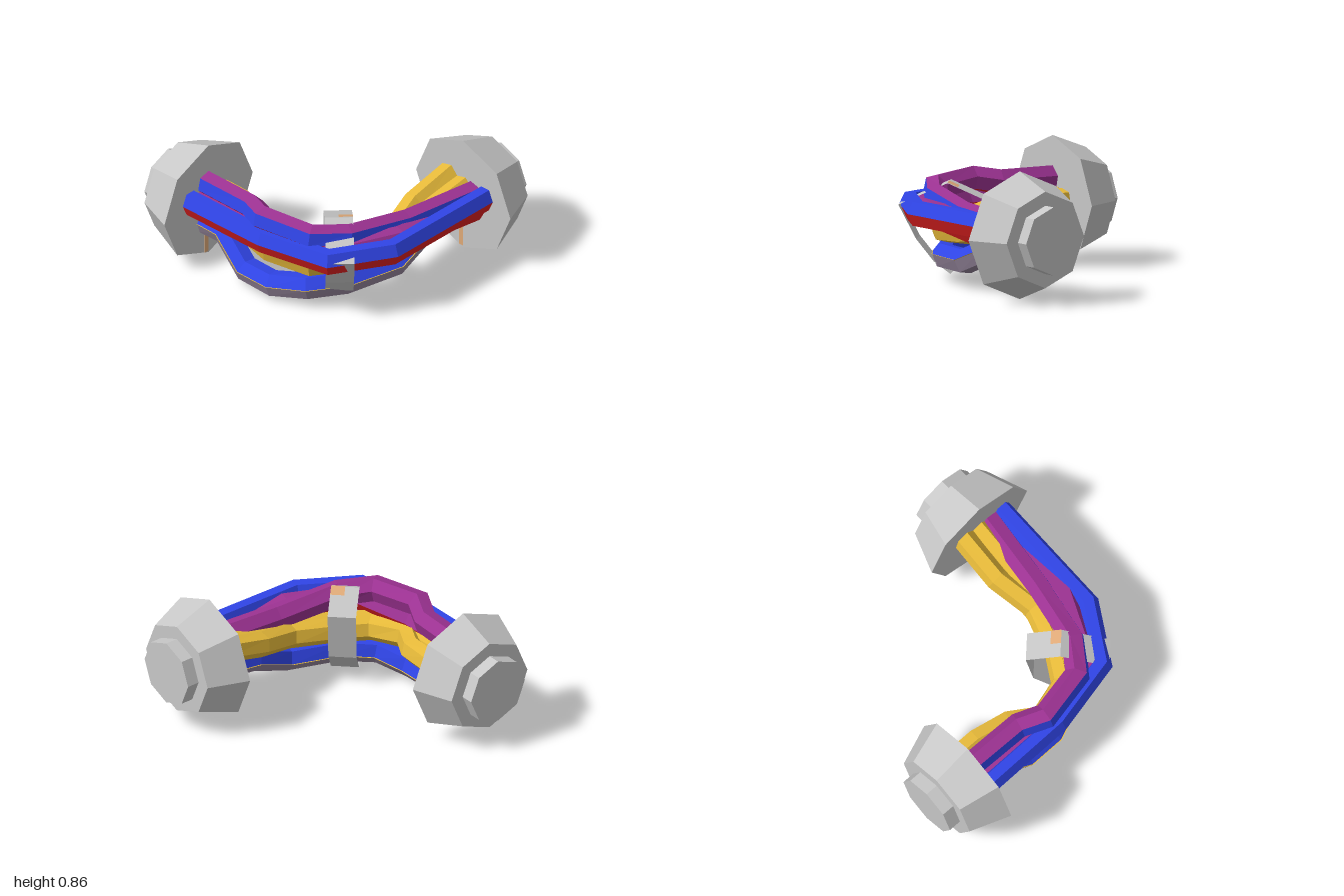
import * as THREE from 'three';

const mat = (name, color, side = THREE.FrontSide) =>
  new THREE.MeshStandardMaterial({ name, color, flatShading: true, side });

function surface(positions) {
  const g = new THREE.BufferGeometry();
  g.setAttribute('position', new THREE.Float32BufferAttribute(positions, 3));
  g.computeVertexNormals();
  return g;
}

// Mitred sweep of chosen facets of a six-sided section; facet 0 faces outward and up
function cableSkin(pts, facets, rot, r, flat) {
  const up = new THREE.Vector3(0, 1, 0);
  const dirs = pts.slice(1).map((p, i) => p.clone().sub(pts[i]).normalize());
  const rings = pts.map((p, i) => {
    const before = dirs[Math.max(i - 1, 0)], after = dirs[Math.min(i, dirs.length - 1)];
    const t = before.clone().add(after).normalize();
    const side = t.clone().cross(up).normalize();
    const top = side.clone().cross(t);
    const miter = 1 / Math.max(t.dot(after), 0.8);
    return Array.from({ length: 7 }, (_, k) => {
      const q = new THREE.Vector2(r, 0).rotateAround(new THREE.Vector2(), k * Math.PI / 3);
      q.y *= flat;
      q.rotateAround(new THREE.Vector2(), rot);
      return p.clone().addScaledVector(side, q.x * miter).addScaledVector(top, q.y);
    });
  });
  const out = [];
  for (let i = 0; i < rings.length - 1; i++) {
    for (const k of facets) {
      const a = rings[i][k], b = rings[i][k + 1], c = rings[i + 1][k + 1], d = rings[i + 1][k];
      for (const v of [a, d, c, a, c, b]) out.push(v.x, v.y, v.z);
    }
  }
  return surface(out);
}

// Cable from the side plug (start y, z) through its bends to the back plug (end x, y)
function cable(name, skins, [[y0, z0], bends, [x1, y1]], rot = 0, r = 0.083, flat = 1.08) {
  const reach = -0.65;
  const pts = [[reach, y0, z0], ...bends, [x1, y1, reach]].map((p) => new THREE.Vector3(...p));
  const g = new THREE.Group();
  g.name = name;
  for (const [material, facets] of skins) {
    const m = new THREE.Mesh(cableSkin(pts, facets, rot, r, flat), material);
    m.name = name + 'Skin';
    g.add(m);
  }
  return g;
}

// Octagonal plug with a stepped back cap and a marker strip, opening toward +z
function connector(name, material, markerMaterial) {
  const g = new THREE.Group();
  g.name = name;
  const add = (part, geometry, mtl, x, y, z) => {
    const m = new THREE.Mesh(geometry, mtl);
    m.position.set(x, y, z);
    m.name = part;
    g.add(m);
  };
  const drum = (r1, r2, h) => new THREE.CylinderGeometry(r1, r2, h, 8).rotateX(-Math.PI / 2);
  add('connectorShell', drum(0.325, 0.43, 0.28), material, 0, 0, -0.77);
  add('connectorCap', drum(0.23, 0.23, 0.09), material, 0, 0, -0.955);
  add('markerStrip', new THREE.BoxGeometry(0.036, 0.28, 0.006), markerMaterial, -0.02, -0.275, -0.63);
  return g;
}

// Band following (outward, y) points, standing across the corner of the bend
function band(name, points, v0, v1, material) {
  const out = [];
  const at = ([u, y], v) => [(u + v) * Math.SQRT1_2, y, (u - v) * Math.SQRT1_2];
  points.slice(1).forEach((q, i) => {
    const a = at(points[i], v0), b = at(points[i], v1), c = at(q, v1), d = at(q, v0);
    out.push(...a, ...b, ...c, ...a, ...c, ...d);
  });
  const m = new THREE.Mesh(surface(out), material);
  m.name = name;
  return m;
}

export function createModel() {
  const model = new THREE.Group();
  model.name = 'cableHarness';
  const grey = mat('connector grey', 0xc8c8c8);
  const strapGrey = mat('strap grey', 0xc6c6c6, THREE.DoubleSide);
  const peach = mat('peach', 0xe0aa78, THREE.DoubleSide);
  const blue = mat('blue', 0x3045e8), red = mat('red', 0xe02020), purple = mat('purple', 0x9c3292);
  const gold = mat('gold', 0xe8bb3a), mauve = mat('mauve grey', 0x94849a);

  // Plugs at both ends
  const back = connector('backConnector', grey, peach);
  back.position.set(0.57, 0.43, 0);
  const side = connector('sideConnector', grey, peach);
  side.position.set(0, 0.43, 0.57);
  side.rotation.y = Math.PI / 2;
  model.add(back, side);

  const upper = [0, 1, 2], lower = [3, 4, 5];
  const allGold = [[gold, [...upper, ...lower]]];

  // Cables along the outside of the bend
  model.add(cable('outerCable', [[blue, upper], [red, lower]], [[0.49, 0.75],
    [[0.03, 0.49, 0.74], [0.52, 0.49, 0.63], [0.75, 0.49, 0.25]], [0.77, 0.49]], 0, 0.07, 1.32));
  model.add(cable('innerRedCable', [[purple, upper], [red, lower]], [[0.45, 0.69],
    [[0.03, 0.46, 0.68], [0.46, 0.48, 0.56], [0.67, 0.48, 0.1]], [0.68, 0.37]]));

  // Cable arching over the bundle
  model.add(cable('upperCable', [[blue, [0]], [purple, [1, 2, 3]], [red, [4, 5]]], [[0.57, 0.59],
    [[-0.2, 0.58, 0.6], [-0.03, 0.61, 0.68], [0.33, 0.59, 0.6], [0.48, 0.56, 0.4],
      [0.58, 0.5, -0.05]], [0.66, 0.48]], -Math.PI / 12));

  // Gold pair along the inside of the bend
  model.add(cable('goldInnerCable', allGold, [[0.43, 0.45],
    [[-0.45, 0.43, 0.45], [-0.2, 0.4, 0.49], [0, 0.37, 0.61], [0.28, 0.34, 0.52],
      [0.4, 0.34, 0.32], [0.5, 0.37, 0], [0.43, 0.45, -0.3]], [0.44, 0.53]], 0.25));
  model.add(cable('goldOuterCable', allGold, [[0.45, 0.56],
    [[0, 0.36, 0.64], [0.3, 0.35, 0.57], [0.47, 0.35, 0.32], [0.55, 0.38, 0]], [0.57, 0.49]], 0.25));

  // Cable sagging below the bundle, with a thin gold seam along both sides
  const sag = [[0.27, 0.6],
    [[-0.45, 0.27, 0.6], [-0.2, 0.115, 0.66], [0.04, 0.11, 0.66], [0.27, 0.15, 0.57],
      [0.43, 0.165, 0.37], [0.54, 0.18, 0], [0.53, 0.29, -0.28]], [0.53, 0.34]];
  model.add(cable('lowerCable', [[blue, upper], [mauve, lower]], sag, 0.15));
  model.add(cable('lowerCableSeam', allGold, sag, 0.15, 0.088, 0.12));

  // Strap around the bundle and its small patch
  const loop = [[0.31, 0.56], [0.54, 0.66], [0.87, 0.51], [0.75, 0.28], [0.63, 0.13],
    [0.52, 0.05], [0.36, 0.22], [0.31, 0.56]];
  model.add(band('bundleStrap', loop, -0.095, 0.095, strapGrey));
  model.add(band('strapPatch', [[0.47, 0.635], [0.54, 0.665]], 0, 0.095, peach));
  return model;
}
